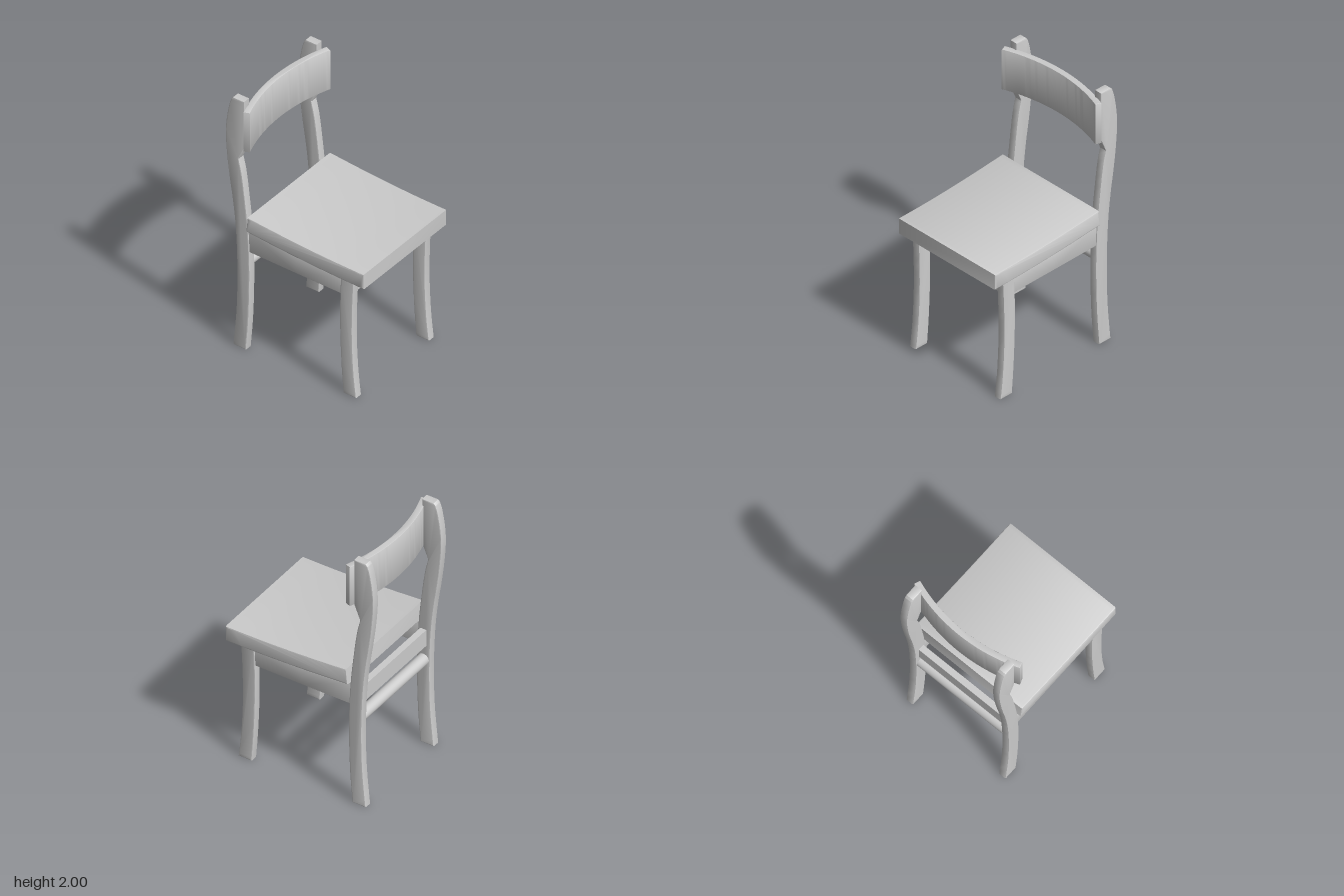
import * as THREE from 'three';
import { toCreasedNormals } from 'three/addons/utils/BufferGeometryUtils.js';

const material = new THREE.MeshStandardMaterial({ color: 0xcccccc });

function addMesh(group, name, geometry) {
  const mesh = new THREE.Mesh(geometry, material);
  mesh.name = name;
  group.add(mesh);
  return mesh;
}

// Extrude a shape to a total depth, centred, with softened edges that keep the outline size.
function bevelled(shape, depth, bevel, curveSegments = 8) {
  const geometry = new THREE.ExtrudeGeometry(shape, {
    depth: depth - 2 * bevel, bevelThickness: bevel, bevelSize: bevel,
    bevelOffset: -bevel, bevelSegments: 2, curveSegments,
  });
  geometry.translate(0, 0, bevel - depth / 2);
  return geometry;
}

// Side profile given as (z, y) runs; each run is a smooth curve, runs meet at corners.
function sideProfile(runs, width, bevel) {
  const shape = new THREE.Shape();
  shape.moveTo(...runs[0][0]);
  runs.forEach((run, i) => {
    if (i > 0) shape.lineTo(...run[0]);
    const rest = run.slice(1).map((p) => new THREE.Vector2(...p));
    if (rest.length === 1) shape.lineTo(rest[0].x, rest[0].y);
    else shape.splineThru(rest);
  });
  const geometry = bevelled(shape, width, bevel, 4);
  geometry.rotateY(-Math.PI / 2);
  return toCreasedNormals(geometry, 0.45);
}

export function createModel() {
  const chair = new THREE.Group();
  chair.name = 'chair';

  // Legs
  const backLeg = sideProfile([
    [[-0.51, 0], [-0.485, 0.28], [-0.477, 0.55], [-0.481, 0.78], [-0.493, 0.99],
      [-0.515, 1.18], [-0.535, 1.31], [-0.557, 1.48], [-0.571, 1.66], [-0.566, 1.79],
      [-0.545, 1.92], [-0.525, 1.985]],
    [[-0.51, 2], [-0.42, 2]],
    [[-0.42, 1.63], [-0.465, 1.52]],
    [[-0.465, 1.52], [-0.438, 1.4], [-0.412, 1.2], [-0.391, 1], [-0.379, 0.78],
      [-0.376, 0.55], [-0.385, 0.25], [-0.405, 0]],
  ], 0.06, 0.008);
  const frontLeg = sideProfile([
    [[0.39, 0], [0.375, 0.2], [0.364, 0.45], [0.362, 0.7], [0.37, 0.945]],
    [[0.475, 0.945], [0.464, 0.7], [0.462, 0.45], [0.474, 0.2], [0.495, 0]],
  ], 0.06, 0.008);

  // Side rails follow the slope of the seat
  const sideRail = sideProfile([
    [[-0.39, 0.797], [-0.39, 0.968]],
    [[0, 0.942], [0.375, 0.925]],
    [[0.375, 0.79], [0, 0.793]],
  ], 0.044, 0.003);

  for (const [side, x] of [['left', 0.395], ['right', -0.4]]) {
    addMesh(chair, `${side}BackLeg`, backLeg).position.x = x;
    addMesh(chair, `${side}FrontLeg`, frontLeg).position.x = x;
    addMesh(chair, `${side}SideRail`, sideRail).position.x = x;
  }

  // Seat, dipping gently towards the front
  addMesh(chair, 'seat', sideProfile([
    [[-0.387, 0.979], [-0.374, 1.097]],
    [[-0.374, 1.097], [-0.12, 1.076], [0.12, 1.061], [0.35, 1.052], [0.575, 1.049]],
    [[0.575, 0.93], [0.35, 0.934], [0.12, 0.943], [-0.12, 0.957], [-0.387, 0.979]],
  ], 0.91, 0.01));

  // Cross rails and round stretcher between the legs
  const rail = new THREE.BoxGeometry(0.75, 0.13, 0.046);
  addMesh(chair, 'frontRail', rail).position.set(-0.0025, 0.87, 0.42);
  addMesh(chair, 'backRail', rail).position.set(-0.0025, 0.87, -0.43);
  const stretcher = new THREE.CylinderGeometry(0.043, 0.043, 0.75, 24);
  stretcher.rotateZ(Math.PI / 2);
  addMesh(chair, 'stretcher', stretcher).position.set(-0.0025, 0.688, -0.43);

  // Curved backrest board, an arc seen from above
  const half = 0.361, outer = 1.288, inner = 1.243;
  const arc = new THREE.Shape();
  arc.absarc(0, 0, outer, Math.PI / 2 - half, Math.PI / 2 + half, false);
  arc.absarc(0, 0, inner, Math.PI / 2 + half, Math.PI / 2 - half, true);
  const board = bevelled(arc, 0.32, 0.004, 24);
  board.rotateX(-Math.PI / 2);
  addMesh(chair, 'backrest', toCreasedNormals(board, 0.45)).position.set(-0.006, 1.785, 0.803);

  return chair;
}
